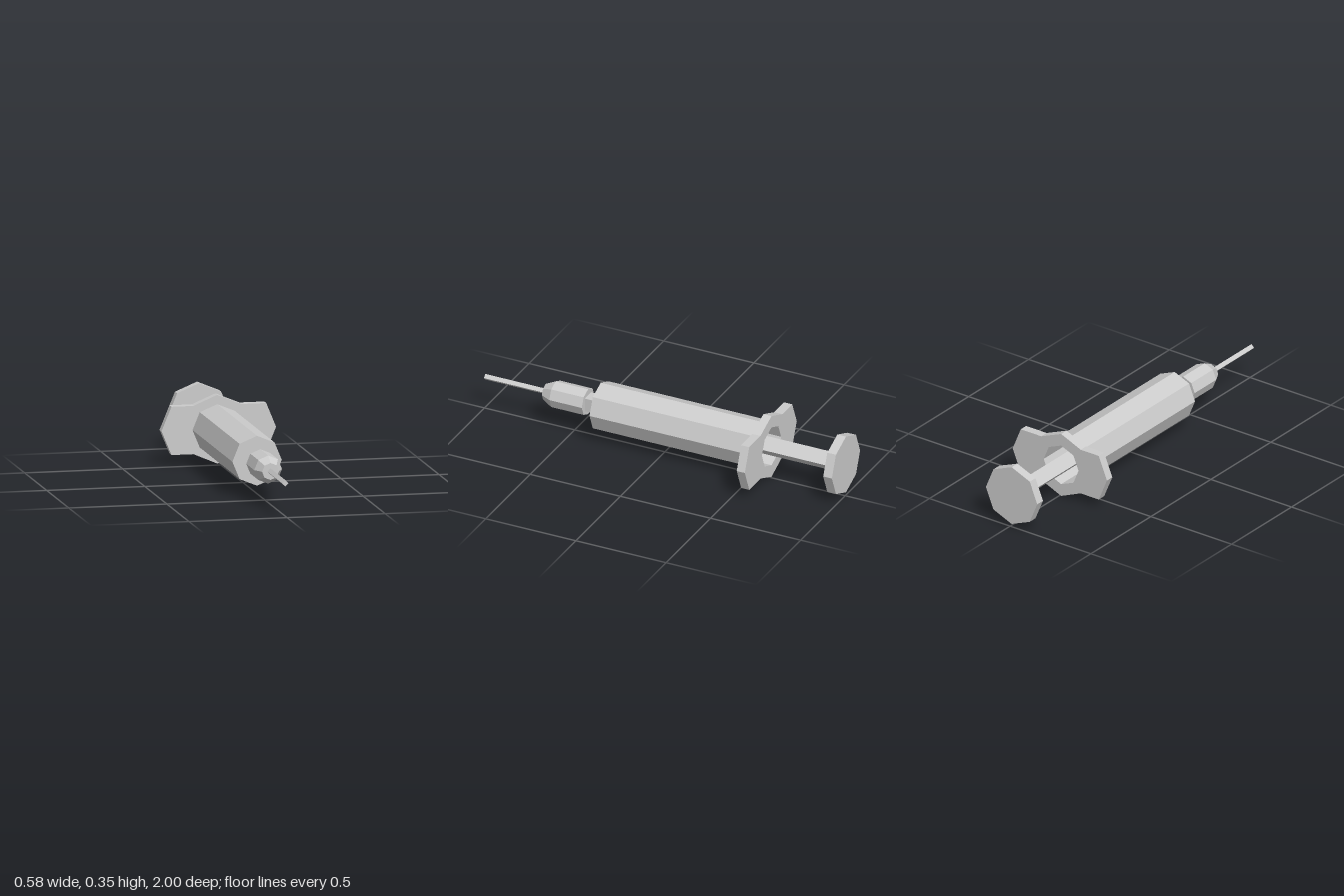
import * as THREE from 'three';

const AXIS_X = -0.009, AXIS_Y = 0.174;

export function createModel() {
  const model = new THREE.Group();
  model.name = 'syringe';
  const material = new THREE.MeshStandardMaterial({ color: 0xcccccc, flatShading: true });

  function add(name, geometry) {
    const mesh = new THREE.Mesh(geometry, material);
    mesh.name = name;
    mesh.position.set(AXIS_X, AXIS_Y, 0);
    model.add(mesh);
  }

  // Faceted solid turned around the long axis; profile is [radius, z], running back to front
  function turned(name, profile, sides = 8) {
    const points = profile.map(([r, z]) => new THREE.Vector2(r, z));
    add(name, new THREE.LatheGeometry(points, sides).rotateX(Math.PI / 2));
  }

  const rod = (name, r, z0, z1, sides) =>
    turned(name, [[0, z0], [r, z0], [r, z1], [0, z1]], sides);

  // Needle, hub and the square neck behind it
  rod('needle', 0.016, 0.66, 1, 4);
  turned('needleHub', [[0, 0.43], [0.071, 0.43], [0.071, 0.61], [0.043, 0.665], [0, 0.665]]);
  add('neck', new THREE.BoxGeometry(0.072, 0.072, 0.09).translate(0, 0, 0.395));

  // Hollow barrel: outer wall, front cap, inner floor, inner wall
  const bore = 0.108;
  turned('barrel', [[0.126, -0.542], [0.126, 0.36], [0, 0.36], [0, 0.33], [bore, 0.33], [bore, -0.542]]);

  // Finger flange with an octagonal opening
  const flange = new THREE.Shape([
    [0.3, 0], [0.25, 0.122], [0.123, 0.122], [0, 0.173], [-0.121, 0.122], [-0.233, 0.122],
    [-0.284, 0], [-0.233, -0.122], [-0.121, -0.122], [0, -0.174], [0.123, -0.122], [0.25, -0.122],
  ].map(([x, y]) => new THREE.Vector2(x, y)));
  const opening = [];
  for (let i = 0; i < 8; i++) {
    const a = -i * Math.PI / 4;
    opening.push(new THREE.Vector2(Math.cos(a) * bore, Math.sin(a) * bore));
  }
  flange.holes.push(new THREE.Path(opening));
  add('fingerFlange', new THREE.ExtrudeGeometry(flange, { depth: 0.045, bevelEnabled: false })
    .translate(0, 0, -0.587));

  // Plunger: square rod, thumb plate and the stopper inside the barrel
  rod('plungerRod', 0.053, -0.96, 0.26, 4);
  rod('thumbPlate', 0.159, -1, -0.952, 8);
  rod('stopper', 0.105, 0.25, 0.32, 8);

  return model;
}
